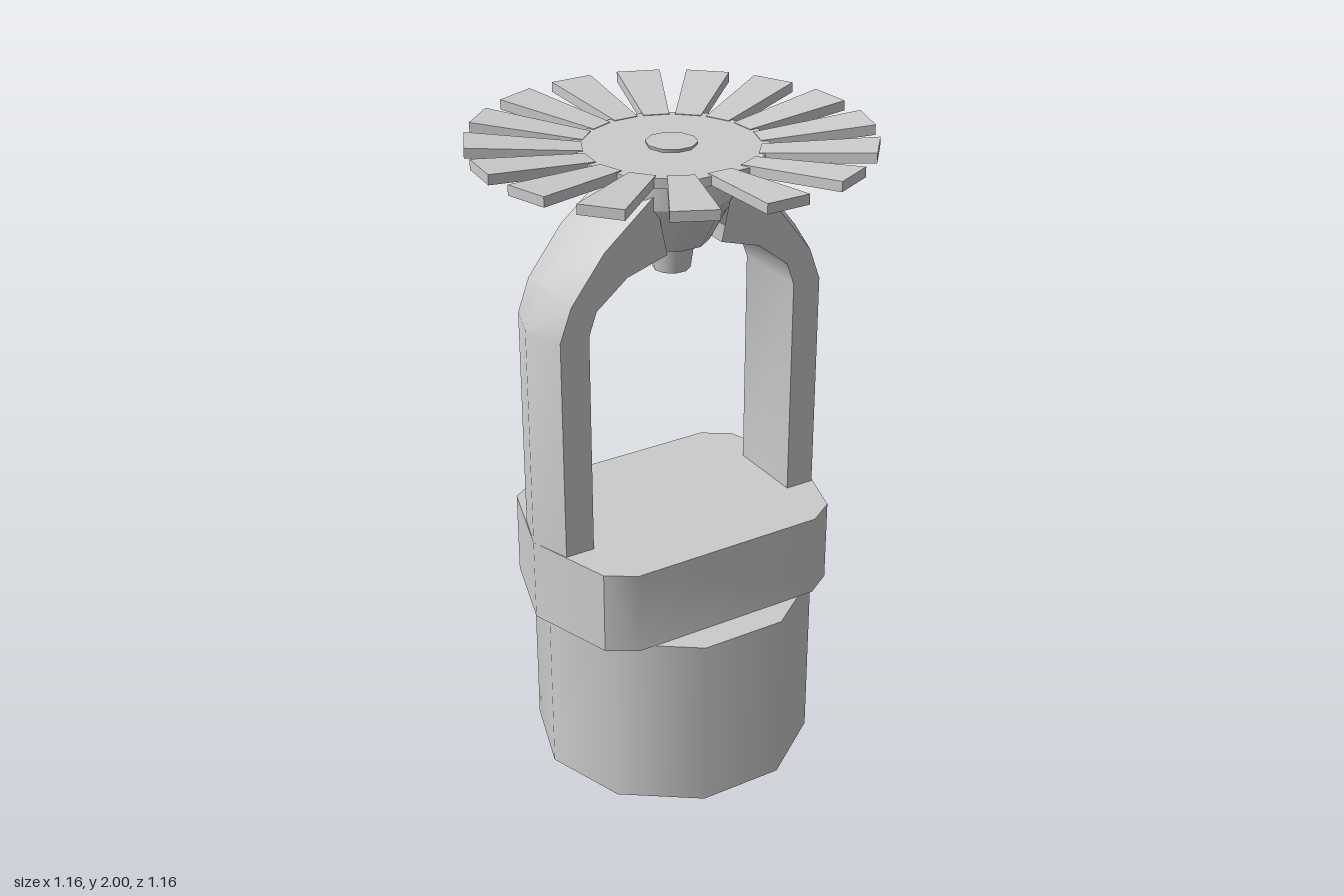
import * as THREE from 'three';
import { toCreasedNormals } from 'three/addons/utils/BufferGeometryUtils.js';

const SIDES = 10;

export function createModel() {
  const model = new THREE.Group();
  const material = new THREE.MeshStandardMaterial({ color: 0xcccccc, side: THREE.DoubleSide });

  function add(name, geometry, parent = model) {
    const mesh = new THREE.Mesh(geometry, material);
    mesh.name = name;
    parent.add(mesh);
    return mesh;
  }

  // Ten-sided drum between two heights, with a corner on the x axis
  function drum(name, bottomRadius, topRadius, y0, y1, open = false) {
    const g = new THREE.CylinderGeometry(topRadius, bottomRadius, y1 - y0, SIDES, 1, open, Math.PI / 2);
    return add(name, g.translate(0, (y0 + y1) / 2, 0));
  }

  // Flat ten-sided disc used to close a drum
  function cap(name, radius, y) {
    const g = new THREE.CircleGeometry(radius, SIDES).rotateX(-Math.PI / 2);
    return add(name, g.translate(0, y, 0));
  }

  // Threaded inlet: open underneath, closed on top
  drum('inletPipe', 0.435, 0.435, 0, 0.56, true);
  cap('inletTop', 0.435, 0.56);

  // Wrench flange: rounded ends with two flat sides
  const quarter = [[0.48, 0], [0.395, 0.27], [0.31, 0.325]];
  const outline = [
    ...quarter,
    ...quarter.slice(1).reverse().map(([x, z]) => [-x, z]),
    ...quarter.map(([x, z]) => [-x, -z]),
    ...quarter.slice(1).reverse().map(([x, z]) => [x, -z]),
  ].map(([x, z]) => new THREE.Vector2(x, z));
  const flange = new THREE.ExtrudeGeometry(new THREE.Shape(outline), { depth: 0.26, bevelEnabled: false });
  add('flange', toCreasedNormals(flange.rotateX(-Math.PI / 2).translate(0, 0.56, 0), 0.67));

  // Frame arms: five-sided section with an outer ridge, swept up to the hub.
  // Each station holds the x, y of the inner edge, the outer edge and the ridge.
  const stations = [
    [0.345, 0.8, 0.437, 0.8, 0.48, 0.8],
    [0.345, 1.51, 0.437, 1.51, 0.48, 1.515],
    [0.32, 1.58, 0.4, 1.61, 0.43, 1.64],
    [0.22, 1.66, 0.292, 1.75, 0.318, 1.78],
    [0.09, 1.7, 0.13, 1.885, 0.14, 1.925],
  ];
  const half = 0.125;
  const positions = [];
  const index = [];
  stations.forEach(([ix, iy, ox, oy, rx, ry], s) => {
    positions.push(ix, iy, half, ox, oy, half, rx, ry, 0, ox, oy, -half, ix, iy, -half);
    if (s === 0) return;
    for (let i = 0; i < 5; i++) {
      const a = (s - 1) * 5 + i;
      const b = (s - 1) * 5 + (i + 1) % 5;
      index.push(a, b, b + 5, a, b + 5, a + 5);
    }
  });
  const arm = new THREE.BufferGeometry();
  arm.setAttribute('position', new THREE.Float32BufferAttribute(positions, 3));
  arm.setIndex(index);
  const armGeometry = toCreasedNormals(arm, 0.67);
  add('leftArm', armGeometry);
  add('rightArm', armGeometry).rotation.y = Math.PI;

  // Hub and the tapered screw tip below it
  drum('hubCollar', 0.19, 0.19, 1.84, 1.945, true);
  drum('hubCone', 0.11, 0.19, 1.69, 1.84, true);
  cap('hubBottom', 0.11, 1.69);
  drum('screwTip', 0.055, 0.068, 1.6, 1.69, true);

  // Deflector: central disc, rivet head and a ring of flared teeth
  drum('deflectorDisc', 0.285, 0.285, 1.942, 1.97);
  drum('rivetHead', 0.072, 0.075, 1.97, 1.98);

  const tooth = new THREE.BoxGeometry(1, 0.03, 1);
  const p = tooth.attributes.position;
  for (let i = 0; i < p.count; i++) {
    const outer = p.getX(i) > 0;
    const width = outer ? 0.132 : 0.076;
    p.setXYZ(i, outer ? 0.578 : 0.25, p.getY(i) + (outer ? 1.985 : 1.957), p.getZ(i) * width);
  }
  tooth.computeVertexNormals();
  const teeth = new THREE.Group();
  teeth.name = 'deflectorTeeth';
  model.add(teeth);
  // Angles from the x axis towards the back, mirrored to the other side
  const angles = [68.6, 47.5, 26.5, 4.7, -17.5, -40.3, -64.5];
  const allAngles = [90, -90, ...angles, ...angles.map((a) => 180 - a)];
  for (const a of allAngles) {
    add('tooth', tooth, teeth).rotation.y = THREE.MathUtils.degToRad(a);
  }

  return model;
}
